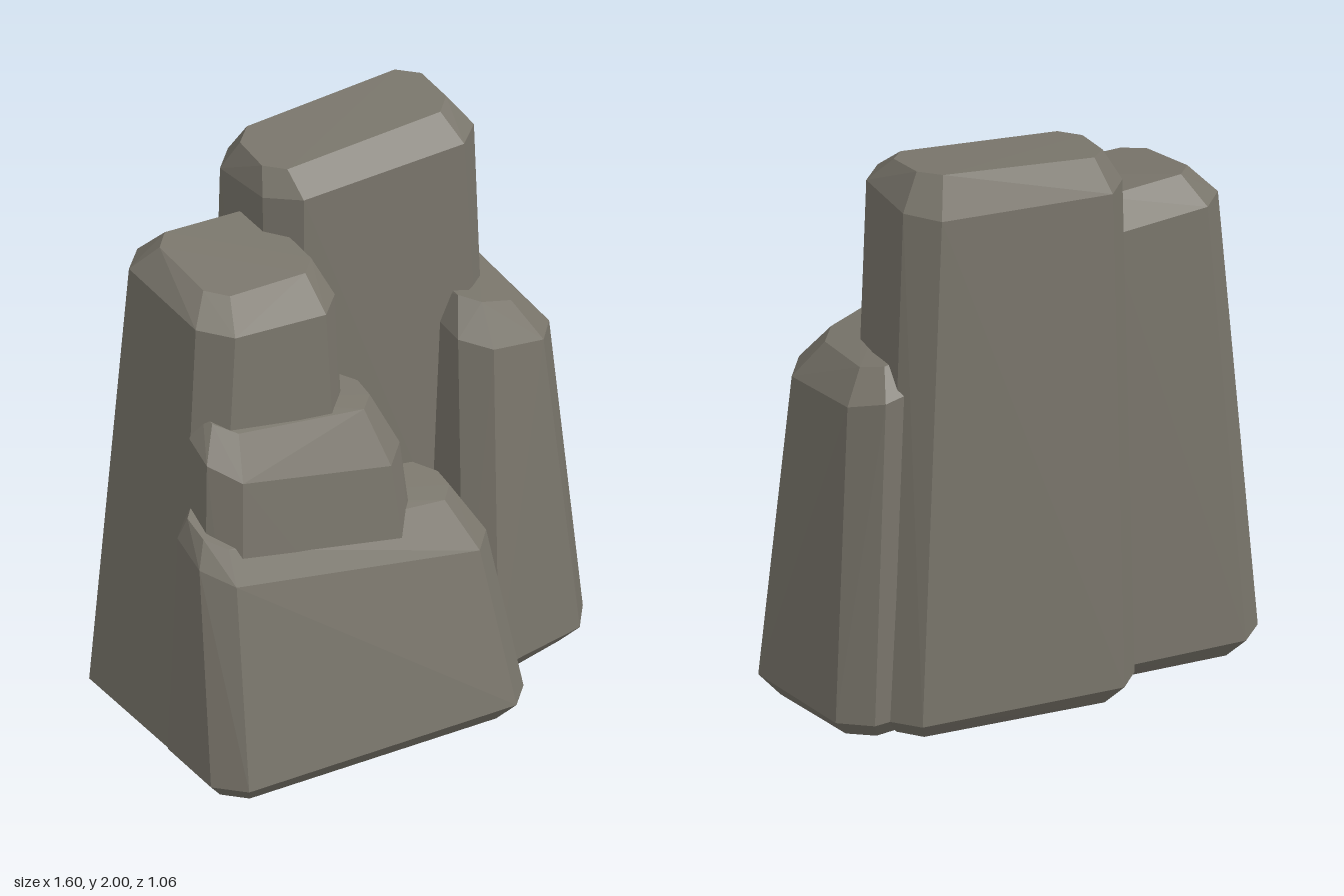
import * as THREE from 'three';
import { ConvexGeometry } from 'three/addons/geometries/ConvexGeometry.js';

const FOOT_Y = 0.07, BEVEL = 0.06;

// Cuts each corner of a four-sided ring into two points, giving eight
function cutCorners(corners, cut) {
  return corners.flatMap((c, i) => [corners[(i + 3) % 4], corners[(i + 1) % 4]].map((next) => {
    const step = next.clone().sub(c).setLength(cut);
    return c.clone().add(step);
  }));
}

// Boulder from three rings of corners, ordered back right side, back left, front left, front right side
function rock(name, material, base, shoulder, cap) {
  const rim = base.map(([x, z]) => new THREE.Vector3(x, FOOT_Y, z));
  // The foot is the rim drawn in on all four sides
  const foot = rim.map((p, i) => new THREE.Vector3(
    p.x + (i === 0 || i === 3 ? BEVEL : -BEVEL), 0, p.z + (i < 2 ? BEVEL : -BEVEL)));
  const ring = (corners) => corners.map((p) => new THREE.Vector3(...p));
  const points = [
    ...cutCorners(foot, 0.07), ...cutCorners(rim, 0.09),
    ...cutCorners(ring(shoulder), 0.09), ...cutCorners(ring(cap), 0.06),
  ];
  const mesh = new THREE.Mesh(new ConvexGeometry(points), material);
  mesh.name = name;
  return mesh;
}

export function createModel() {
  const group = new THREE.Group();
  group.name = 'rockCluster';
  const stone = new THREE.MeshStandardMaterial({ color: 0x79756b, flatShading: true });
  stone.name = 'grey stone';

  group.add(
    rock('tallBackRock', stone,
      [[-0.27, -0.54], [0.62, -0.45], [0.56, 0.05], [-0.24, -0.04]],
      [[-0.26, 1.83, -0.48], [0.53, 1.87, -0.42], [0.53, 1.9, 0], [-0.23, 1.84, -0.07]],
      [[-0.2, 1.94, -0.41], [0.46, 2.005, -0.36], [0.47, 1.98, -0.1], [-0.21, 1.92, -0.15]]),
    rock('leftRock', stone,
      [[-0.78, -0.44], [-0.1, -0.39], [-0.08, 0.26], [-0.79, 0.27]],
      [[-0.67, 1.65, -0.38], [-0.14, 1.61, -0.35], [-0.13, 1.57, 0.2], [-0.65, 1.6, 0.18]],
      [[-0.59, 1.74, -0.29], [-0.18, 1.72, -0.28], [-0.17, 1.68, 0.09], [-0.57, 1.68, 0.07]]),
    rock('middleRock', stone,
      [[-0.77, 0], [0.1, -0.02], [0.12, 0.42], [-0.77, 0.41]],
      [[-0.69, 1.25, 0.03], [0.02, 1.14, -0.01], [0.04, 0.98, 0.32], [-0.7, 1.14, 0.31]],
      [[-0.65, 1.32, 0.06], [-0.03, 1.21, 0.03], [-0.03, 1.17, 0.22], [-0.63, 1.26, 0.22]]),
    rock('frontRock', stone,
      [[-0.79, 0.05], [0.35, 0.05], [0.39, 0.53], [-0.8, 0.5]],
      [[-0.77, 0.92, 0.08], [0.29, 0.69, 0.06], [0.33, 0.6, 0.4], [-0.77, 0.8, 0.38]],
      [[-0.75, 0.99, 0.13], [0.23, 0.81, 0.1], [0.24, 0.76, 0.28], [-0.73, 0.9, 0.32]]),
    rock('rightRock', stone,
      [[0.28, -0.35], [0.75, -0.38], [0.81, 0.23], [0.28, 0.33]],
      [[0.35, 1.27, -0.36], [0.7, 1.2, -0.36], [0.72, 1.15, 0.16], [0.34, 1.23, 0.2]],
      [[0.4, 1.34, -0.28], [0.63, 1.3, -0.28], [0.62, 1.28, 0.08], [0.39, 1.35, 0.09]]),
  );
  return group;
}
